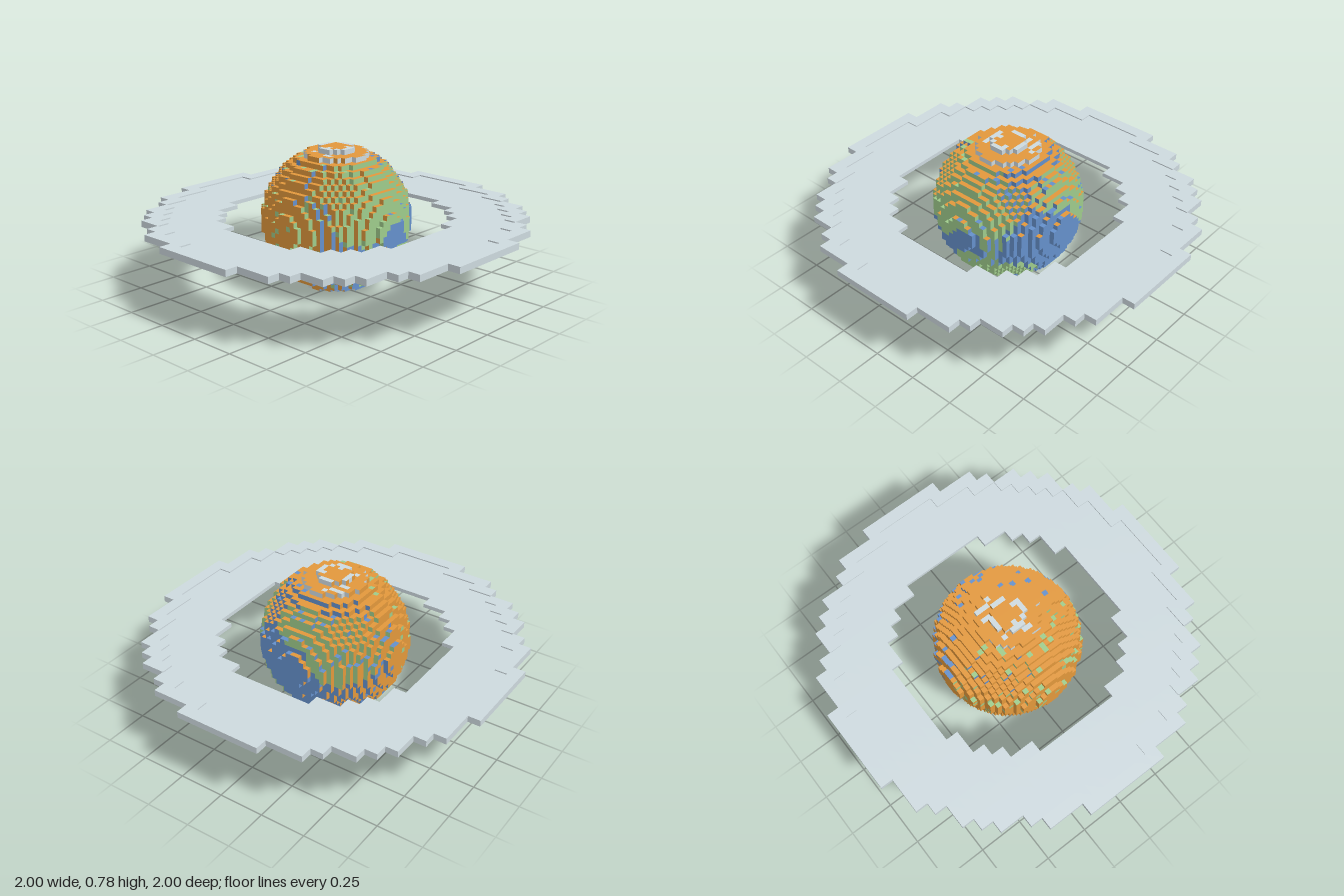
import * as THREE from 'three';

const mat = (name, color) => Object.assign(new THREE.MeshStandardMaterial({ color }), { name });
const orange = mat('orange rock', 0xe2983c);
const blue = mat('ocean blue', 0x6590cb);
const green = mat('land green', 0x9ecb8b);
const grey = mat('ice grey', 0xcdd9de);

const N = 14;          // cells on each side of the centre
const ROUND = 206;     // squared radius of the blocky outline, in cells

// Outer faces of all filled cells, one mesh for each colour
function voxelSurface(name, filled, size, colourOf) {
  const group = new THREE.Group();
  group.name = name;
  const buckets = new Map();
  const addFace = (cell, axis, sign) => {
    const material = colourOf(cell, axis, sign);
    if (!buckets.has(material)) buckets.set(material, []);
    const out = buckets.get(material);
    const u = (axis + 1) % 3, v = (axis + 2) % 3;
    const corners = [[-1, -1], [1, -1], [1, 1], [-1, 1]].map(([a, b]) => {
      const p = [...cell];
      p[axis] += sign * 0.5;
      p[u] += a * 0.5;
      p[v] += b * 0.5;
      return p.map((c, n) => c * size[n]);
    });
    const order = sign > 0 ? [0, 1, 2, 0, 2, 3] : [0, 2, 1, 0, 3, 2];
    for (const n of order) out.push(...corners[n]);
  };
  for (let i = -N; i <= N; i++) for (let j = -N; j <= N; j++) for (let k = -N; k <= N; k++) {
    if (!filled(i, j, k)) continue;
    for (let axis = 0; axis < 3; axis++) for (const sign of [-1, 1]) {
      const next = [i, j, k];
      next[axis] += sign;
      if (!filled(...next)) addFace([i, j, k], axis, sign);
    }
  }
  for (const [material, points] of buckets) {
    const geometry = new THREE.BufferGeometry();
    geometry.setAttribute('position', new THREE.Float32BufferAttribute(points, 3));
    geometry.computeVertexNormals();
    const mesh = new THREE.Mesh(geometry, material);
    mesh.name = `${name} ${material.name}`;
    group.add(mesh);
  }
  return group;
}

// Continents on the +x side, as ellipses [z, y, half width, half height, tilt]
const sideLand = [
  [0.02, 0.48, 0.76, 0.4, 0.05],
  [0.42, 0.15, 0.36, 0.29, 0.2],
  [-0.45, 0.1, 0.13, 0.36, 0],
  [-0.3, -0.5, 0.47, 0.26, 0.1],
  [-0.14, -0.62, 0.35, 0.28, 0],
  [1.0, 0.0, 0.16, 0.5, 0],
];
// Continents on the back, as ellipses [x, y, half width, half height, tilt]
const backLand = [
  [-0.6, 0.3, 0.42, 0.45, 0],
  [-0.1, 0.53, 0.5, 0.24, 0.1],
  [0.85, 0.45, 0.22, 0.35, 0],
  [0.62, -0.55, 0.3, 0.22, 0],
];
const inEllipse = (a, b) => ([ca, cb, ra, rb, tilt]) => {
  const da = a - ca, db = b - cb;
  const u = da * Math.cos(tilt) + db * Math.sin(tilt);
  const v = db * Math.cos(tilt) - da * Math.sin(tilt);
  return (u / ra) ** 2 + (v / rb) ** 2 < 1;
};

// Repeatable value from 0 to 1 for each cell face
const noise = (i, j, k, axis) => {
  const s = Math.sin(i * 12.99 + j * 78.23 + k * 37.72 + axis * 4.1) * 43758.55;
  return s - Math.floor(s);
};

// Orange rock with a few specks of ice, land and sea, denser towards the rim
function rockColour([i, j, k], axis) {
  const depth = Math.abs([i, j, k][axis]);
  if (noise(i, j, k, axis) > (depth <= 5 ? 0.35 : 0.08)) return orange;
  if (Math.abs(j) >= 13) return grey;
  if (axis === 2) return i > 0 || Math.abs(j) < 7 ? green : blue;
  return k > 0 ? green : blue;
}

// Rocky on the front, right, top and bottom faces; sea and land on the others
function planetColour(cell, axis, sign) {
  const [i, j, k] = cell;
  if (axis === 1 && Math.abs(j) === 14 && i * i + k * k >= 9) return grey;
  if (axis === 2 && sign > 0 && Math.abs(j) === 14) return grey;
  if (axis === 1 || (axis === 2 && sign > 0) || (axis === 0 && sign < 0)) return rockColour(cell, axis);
  if (j >= 13 || j === -14) return grey;
  const [x, y, z] = cell.map((c) => c / 14.4);
  const land = axis === 0 ? sideLand.some(inEllipse(z, y)) : backLand.some(inEllipse(x, y));
  return land ? green : blue;
}

export function createModel() {
  const model = new THREE.Group();
  model.name = 'ringed planet';

  // Blocky globe
  const cell = 0.78 / 29;
  const planet = voxelSurface('planet',
    (i, j, k) => i * i + j * j + k * k <= ROUND, [cell, cell, cell], planetColour);
  planet.position.y = 0.39;
  model.add(planet);

  // Flat ring: a thin inner band inside a slightly thicker rim
  const ringCell = 2 / 29;
  const band = (name, inner, outer, thickness) => {
    const part = voxelSurface(name, (i, j, k) => {
      const r = i * i + k * k;
      return j === 0 && r > inner && r <= outer;
    }, [ringCell, thickness, ringCell], () => grey);
    part.position.y = 0.395;
    model.add(part);
  };
  band('ring band', 75, 174, 0.022);
  band('ring rim', 174, ROUND, 0.035);

  return model;
}
